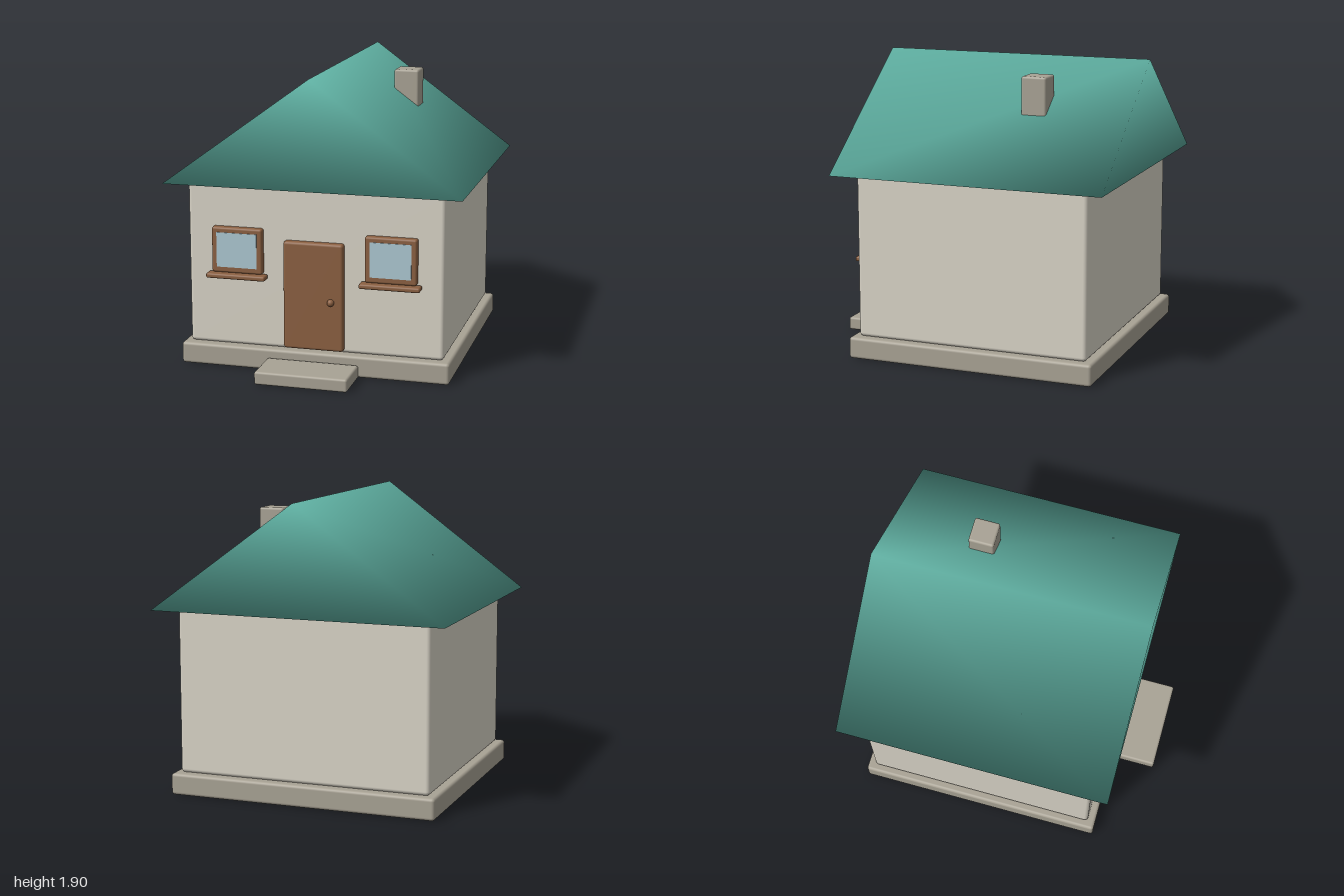
import * as THREE from 'three';
import { RoundedBoxGeometry } from 'three/addons/geometries/RoundedBoxGeometry.js';

const mat = (name, color, side = THREE.FrontSide) => {
  const m = new THREE.MeshStandardMaterial({ color, side });
  m.name = name;
  return m;
};

// Triangular prism along z with shared corners, so its shading is smooth
function prism(halfWidth, y0, y1, zBack, zFront) {
  const g = new THREE.BufferGeometry();
  const points = [];
  for (const z of [zFront, zBack]) points.push(-halfWidth, y0, z, halfWidth, y0, z, 0, y1, z);
  g.setAttribute('position', new THREE.Float32BufferAttribute(points, 3));
  g.setIndex([
    0, 1, 2, 3, 5, 4, // gables
    1, 4, 5, 1, 5, 2, // right slope
    0, 2, 5, 0, 5, 3, // left slope
    0, 3, 4, 0, 4, 1, // underside
  ]);
  g.computeVertexNormals();
  return g;
}

export function createModel() {
  const wall = mat('wall plaster', 0xd8d3c6);
  const gableWall = wall;
  const stone = mat('stone', 0xa8a294);
  const teal = mat('roof teal', 0x5fb0a2, THREE.DoubleSide);
  const wood = mat('wood', 0x8b6041);
  const glass = mat('window glass', 0xadc8d2);

  const house = new THREE.Group();
  house.name = 'house';

  const add = (name, geometry, material, parent = house) => {
    const mesh = new THREE.Mesh(geometry, material);
    mesh.name = name;
    parent.add(mesh);
    return mesh;
  };

  // Rounded box given by its extents along each axis
  const block = (name, [x0, x1], [y0, y1], [z0, z1], radius, material, parent) => {
    const g = new RoundedBoxGeometry(x1 - x0, y1 - y0, z1 - z0, 3, radius);
    g.translate((x0 + x1) / 2, (y0 + y1) / 2, (z0 + z1) / 2);
    return add(name, g, material, parent);
  };

  // Base and walls
  block('foundation', [-0.88, 0.88], [0, 0.14], [-0.92, 0.71], 0.02, stone);
  block('doorstep', [-0.3, 0.3], [0, 0.085], [0.71, 1.0], 0.015, stone);
  block('walls', [-0.833, 0.833], [0.14, 1.2], [-0.872, 0.658], 0.025, wall);
  add('gableWalls', prism(0.83, 1.178, 1.77, -0.87, 0.655), gableWall);

  // Roof and chimney
  add('roof', prism(0.96, 1.2, 1.9, -1.0, 0.785), teal);
  block('chimney', [0.282, 0.448], [1.3, 1.815], [-0.465, -0.3], 0.015, stone);

  // Door with knob
  block('door', [-0.195, 0.195], [0.155, 0.855], [0.64, 0.702], 0.018, wood);
  const knob = add('doorKnob', new THREE.SphereGeometry(0.023, 20, 14), wood);
  knob.position.set(0.117, 0.478, 0.708);

  // Windows, one on each side of the door
  for (const side of [-1, 1]) {
    const windowGroup = new THREE.Group();
    windowGroup.name = side > 0 ? 'leftWindow' : 'rightWindow';
    windowGroup.position.x = side * 0.5;
    house.add(windowGroup);
    block('windowFrame', [-0.166, 0.166], [0.625, 0.92], [0.64, 0.703], 0.014, wood, windowGroup);
    block('windowSill', [-0.195, 0.195], [0.593, 0.625], [0.665, 0.745], 0.012, wood, windowGroup);
    const pane = add('windowPane', new THREE.BoxGeometry(0.265, 0.225, 0.008), glass, windowGroup);
    pane.position.set(0, 0.775, 0.703);
  }
  return house;
}
